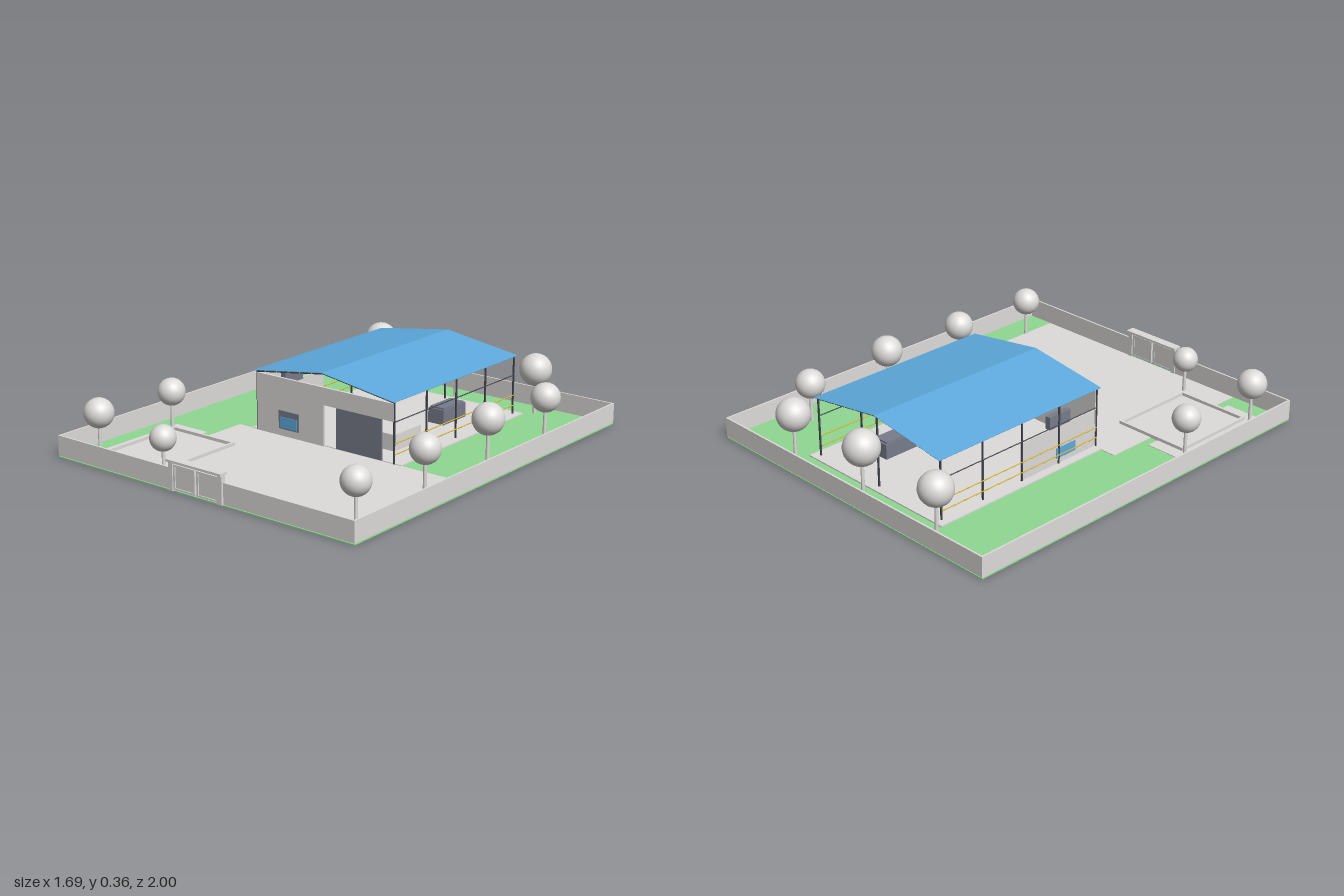
import * as THREE from 'three';

const mat = (name, color) => {
  const m = new THREE.MeshStandardMaterial({ color });
  m.name = name;
  return m;
};

export function createModel() {
  const root = new THREE.Group();
  root.name = 'walledWorkshopYard';
  const gray = mat('concreteGray', 0xdedcda);
  const green = mat('grassGreen', 0x90d892);
  const blue = mat('roofBlue', 0x5eabdf);
  const slate = mat('slatePanel', 0x787c8b);
  const dark = mat('darkSteel', 0x444851);
  const yellow = mat('railYellow', 0xd8b62c);

  const group = (name, parent = root) => {
    const g = new THREE.Group();
    g.name = name;
    parent.add(g);
    return g;
  };
  // Box given by its extents on each axis
  const box = (name, m, x0, x1, y0, y1, z0, z1, parent = root) => {
    const b = new THREE.Mesh(new THREE.BoxGeometry(x1 - x0, y1 - y0, z1 - z0), m);
    b.name = name;
    b.position.set((x0 + x1) / 2, (y0 + y1) / 2, (z0 + z1) / 2);
    parent.add(b);
  };
  // Sloped bar between two points in one frame plane
  const slopedBar = (name, m, xa, ya, xb, yb, z, t, depth, parent) => {
    const b = new THREE.Mesh(new THREE.BoxGeometry(Math.hypot(xb - xa, yb - ya), t, depth), m);
    b.name = name;
    b.position.set((xa + xb) / 2, (ya + yb) / 2, z);
    b.rotation.z = Math.atan2(yb - ya, xb - xa);
    parent.add(b);
  };
  // Round rail running front to back
  const rail = (name, m, x, y, z0, z1, parent) => {
    const r = new THREE.Mesh(new THREE.CylinderGeometry(0.0025, 0.0025, z1 - z0, 12), m);
    r.name = name;
    r.rotation.x = Math.PI / 2;
    r.position.set(x, y, (z0 + z1) / 2);
    parent.add(r);
  };
  // Flat face on the underside, outlined in x and z
  const underFace = (name, points) => {
    const f = new THREE.Mesh(new THREE.ShapeGeometry(new THREE.Shape(points.map(([x, z]) => new THREE.Vector2(x, z)))), gray);
    f.name = name;
    f.rotation.x = Math.PI / 2;
    root.add(f);
  };

  // Ground and paving
  box('lawn', green, -0.847, 0.847, 0.001, 0.006, -1, 0.98);
  box('yardPaving', gray, -0.52, 0.703, 0.004, 0.009, 0.13, 0.97);
  box('buildingPad', gray, -0.44, 0.437, 0.004, 0.012, -0.847, 0.131);
  box('sidePaving', gray, -0.755, -0.56, 0.004, 0.009, 0.315, 0.885);
  box('plotPaving', gray, -0.71, -0.5, 0.004, 0.0095, 0.38, 0.825);

  // Paving showing through the underside
  underFace('buildingUnderside', [[0.435, -0.4], [0.435, 0.13], [-0.44, 0.13], [-0.44, -0.85]]);
  underFace('yardUnderside', [[0.7, 0.13], [0.7, 0.97], [-0.52, 0.13]]);
  underFace('sideUnderside', [[-0.56, 0.31], [-0.56, 0.6], [-0.75, 0.31]]);

  // Low curb around the side plot
  const curb = group('plotCurb');
  for (const z of [0.378, 0.811]) box('curbAcross', gray, -0.71, -0.327, 0.006, 0.024, z, z + 0.013, curb);
  for (const x of [-0.71, -0.34]) box('curbAlong', gray, x, x + 0.013, 0.006, 0.024, 0.391, 0.811, curb);

  // Perimeter wall with a gap for the gate
  const wall = group('perimeterWall');
  box('wallBack', gray, -0.847, 0.847, 0.009, 0.105, -1, -0.991, wall);
  for (const s of [-1, 1]) {
    const [a, b] = s < 0 ? [-0.847, -0.838] : [0.838, 0.847];
    box('wallSide', gray, a, b, 0.009, 0.105, -0.991, 0.971, wall);
    const [c, d] = s < 0 ? [-0.847, -0.15] : [0.15, 0.847];
    box('wallFront', gray, c, d, 0.009, 0.105, 0.971, 0.98, wall);
  }

  // Gate: posts, cap, framed leaves
  const gate = group('gate');
  box('gateCap', gray, -0.155, 0.155, 0.137, 0.148, 0.955, 1, gate);
  for (const s of [-1, 1]) {
    const p = s * 0.141;
    box('gatePost', gray, p - 0.012, p + 0.012, 0.006, 0.137, 0.966, 0.99, gate);
    const c = s * 0.067;
    box('gateLeaf', gray, c - 0.062, c + 0.062, 0.012, 0.118, 0.974, 0.98, gate);
    for (const e of [-0.057, 0.057]) box('leafStile', gray, c + e - 0.005, c + e + 0.005, 0.012, 0.126, 0.972, 0.985, gate);
    for (const y of [0.012, 0.118]) box('leafRail', gray, c - 0.052, c + 0.052, y, y + 0.008, 0.972, 0.985, gate);
  }

  // Front wall with a wide opening on one side
  const front = group('frontWall');
  box('frontWallSolid', gray, -0.4, 0, 0.01, 0.29, 0.127, 0.139, front);
  box('frontWallLintel', gray, 0, 0.4, 0.207, 0.29, 0.127, 0.139, front);
  box('slidingDoor', slate, 0.07, 0.33, 0.012, 0.207, 0.128, 0.136, front);
  box('frontWindow', slate, -0.265, -0.145, 0.045, 0.133, 0.139, 0.143, front);
  box('frontWindowPane', blue, -0.255, -0.155, 0.052, 0.103, 0.142, 0.146, front);

  // Partial side wall with a pane and a high slate unit
  const side = group('sideWall');
  box('sideWallPanel', gray, -0.398, -0.39, 0.01, 0.195, -0.335, 0.127, side);
  box('sidePane', blue, -0.402, -0.398, 0.04, 0.09, -0.12, 0, side);
  box('highUnit', slate, -0.398, -0.37, 0.195, 0.255, -0.16, -0.03, side);

  // Steel frames: columns and rafters
  const frames = group('steelFrames');
  for (const z of [0.135, -0.105, -0.335, -0.57, -0.81]) {
    for (const s of [-1, 1]) {
      box('column', dark, s * 0.4 - 0.0035, s * 0.4 + 0.0035, 0.01, 0.296, z - 0.0035, z + 0.0035, frames);
      slopedBar('rafter', dark, s * 0.4, 0.294, 0, 0.353, z, 0.005, 0.006, frames);
    }
  }
  box('rearMiddleColumn', dark, -0.0035, 0.0035, 0.01, 0.352, -0.8135, -0.8065, frames);

  // Side rails and roof purlins
  const rails = group('rails');
  for (const s of [-1, 1]) {
    for (const y of [0.055, 0.106]) rail('sideRail', yellow, s * 0.404, y, -0.81, 0.135, rails);
    rail('upperRail', dark, s * 0.404, 0.207, -0.81, 0.135, rails);
    for (let i = 1; i < 6; i++) rail('purlin', yellow, s * 0.07 * i, 0.354 - 0.0103 * i, -0.82, 0.14, rails);
  }

  // Gabled roof sheets
  const roof = group('roof');
  for (const s of [-1, 1]) slopedBar('roofSheet', blue, s * 0.411, 0.301, 0, 0.361, -0.337, 0.002, 0.977, roof);

  // Machines on the workshop floor
  box('rearMachine', slate, 0.16, 0.25, 0.012, 0.085, -0.63, -0.45);
  box('rearMachineTop', slate, 0.165, 0.245, 0.085, 0.092, -0.62, -0.46);
  box('frontMachine', gray, 0.22, 0.3, 0.012, 0.09, -0.2, 0);

  // Trees: x, z, crown height, crown radius
  const trees = [
    [-0.47, -0.9, 0.225, 0.079], [0, -0.9, 0.237, 0.084], [0.468, -0.9, 0.225, 0.079],
    [0.704, -0.618, 0.198, 0.07], [0.704, -0.15, 0.212, 0.075], [0.704, 0.32, 0.198, 0.07],
    [0.704, 0.79, 0.187, 0.067], [-0.73, 0.37, 0.187, 0.066], [-0.73, 0.835, 0.198, 0.07],
    [-0.307, 0.86, 0.174, 0.06],
  ];
  for (const [x, z, y, r] of trees) {
    const tree = group('tree');
    tree.position.set(x, 0, z);
    const trunk = new THREE.Mesh(new THREE.CylinderGeometry(0.007, 0.009, y - 0.006, 12), gray);
    trunk.name = 'trunk';
    trunk.position.y = (y + 0.006) / 2;
    const crown = new THREE.Mesh(new THREE.SphereGeometry(r, 28, 18), gray);
    crown.name = 'crown';
    crown.position.y = y;
    tree.add(trunk, crown);
  }
  return root;
}
